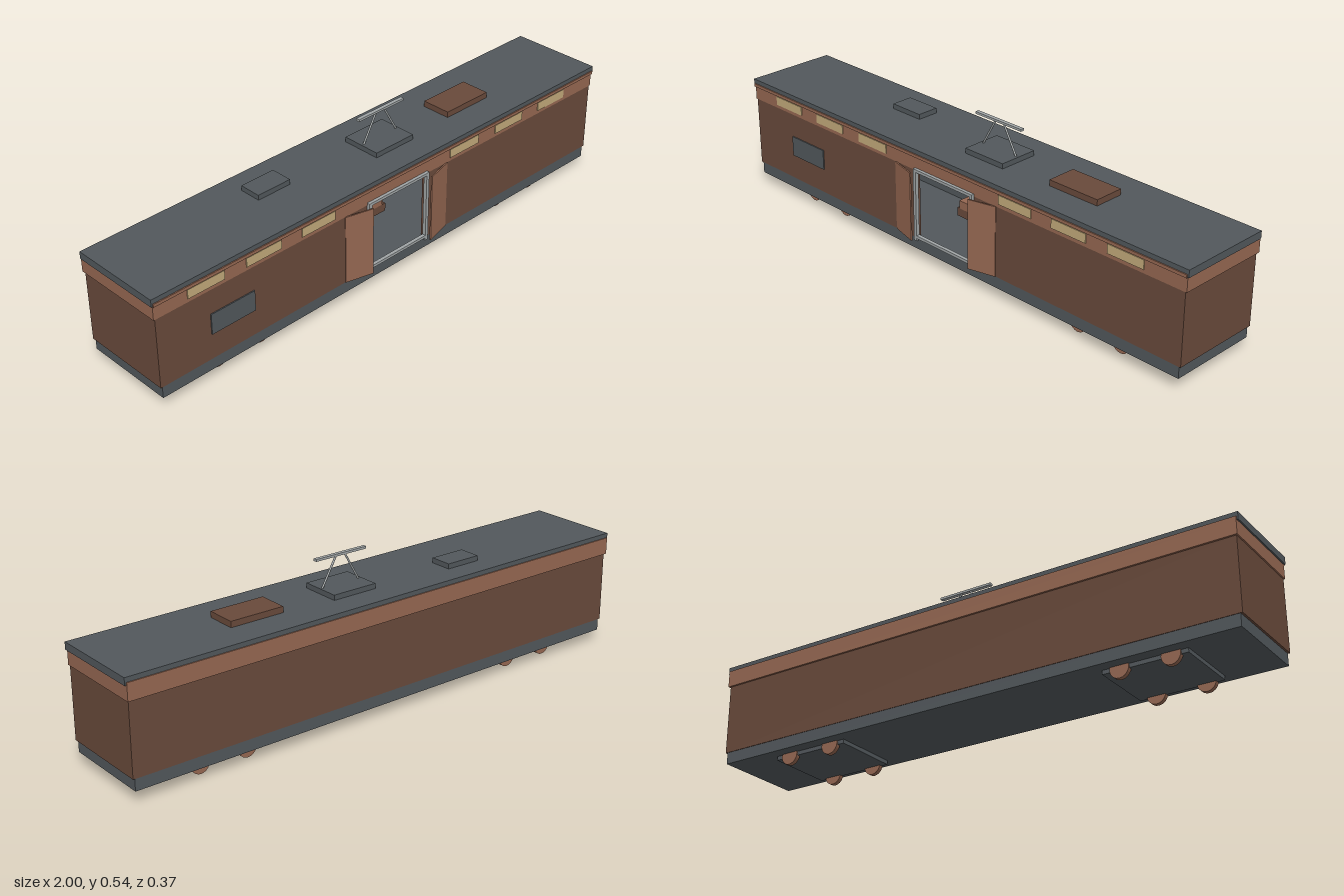
import * as THREE from 'three';

const mat = (name, color) => {
  const m = new THREE.MeshStandardMaterial({ color });
  m.name = name;
  return m;
};

export function createModel() {
  const brown = mat('dark brown', 0x694a3b);
  const tan = mat('light brown', 0x966852);
  const grey = mat('slate grey', 0x52585c);
  const metal = mat('light metal', 0xa0a5a6);
  const cream = mat('window cream', 0xc4ab7b);

  const model = new THREE.Group();
  model.name = 'tramCar';

  // Box given by its lower and upper bounds on each axis
  const box = (name, m, x0, x1, y0, y1, z0, z1, parent = model) => {
    const mesh = new THREE.Mesh(new THREE.BoxGeometry(x1 - x0, y1 - y0, z1 - z0), m);
    mesh.position.set((x0 + x1) / 2, (y0 + y1) / 2, (z0 + z1) / 2);
    mesh.name = name;
    parent.add(mesh);
    return mesh;
  };

  // Round bar between two points
  const bar = (name, m, a, b, r, parent = model) => {
    const from = new THREE.Vector3(...a), to = new THREE.Vector3(...b);
    const dir = to.clone().sub(from);
    const mesh = new THREE.Mesh(new THREE.CylinderGeometry(r, r, dir.length(), 8), m);
    mesh.position.copy(from).add(to).multiplyScalar(0.5);
    mesh.quaternion.setFromUnitVectors(new THREE.Vector3(0, 1, 0), dir.normalize());
    mesh.name = name;
    parent.add(mesh);
  };

  // Underframe and roof
  box('chassis', grey, -0.983, 0.983, 0.042, 0.084, -0.175, 0.154);
  box('roof', grey, -1, 1, 0.386, 0.412, -0.18, 0.159);

  // Hollow body walls, leaving the doorway open at the front
  const walls = new THREE.Group();
  walls.name = 'bodyWalls';
  model.add(walls);
  box('backWall', brown, -0.99, 0.99, 0.084, 0.336, -0.177, -0.16, walls);
  for (const s of [-1, 1]) {
    const end = [0.974 * s, 0.99 * s].sort((a, b) => a - b);
    const front = [0.132 * s, 0.99 * s].sort((a, b) => a - b);
    box('endWall', brown, ...end, 0.084, 0.336, -0.16, 0.142, walls);
    box('frontWall', brown, ...front, 0.084, 0.336, 0.142, 0.156, walls);
  }

  // Upper band around the body
  const band = new THREE.Group();
  band.name = 'upperBand';
  model.add(band);
  box('backBand', tan, -0.995, 0.995, 0.336, 0.386, -0.184, -0.16, band);
  box('backRail', tan, -0.995, 0.995, 0.386, 0.396, -0.184, -0.1802, band);
  box('frontBand', tan, -0.995, 0.995, 0.336, 0.386, 0.142, 0.157, band);
  box('frontRail', tan, -0.995, 0.995, 0.385, 0.396, 0.157, 0.163, band);
  for (const x of [-0.995, 0.975]) {
    box('endBand', tan, x, x + 0.02, 0.336, 0.386, -0.16, 0.142, band);
  }

  // Small upper windows
  for (const x of [-0.8, -0.575, -0.35, 0.318, 0.543, 0.768]) {
    box('window', cream, x - 0.07, x + 0.07, 0.349, 0.381, 0.157, 0.16);
  }
  box('sidePanel', grey, -0.79, -0.618, 0.176, 0.25, 0.156, 0.16);

  // Cabin lining and benches seen through the doorway
  box('innerBackWall', grey, -0.974, 0.974, 0.084, 0.386, -0.16, -0.155);
  box('benchBase', brown, -0.14, 0.14, 0.1, 0.13, -0.12, -0.035);
  box('benchLeft', tan, 0.02, 0.125, 0.13, 0.16, -0.12, -0.035);
  box('benchRight', tan, -0.13, -0.028, 0.13, 0.16, -0.12, -0.035);

  // Door frame
  const frame = new THREE.Group();
  frame.name = 'doorFrame';
  model.add(frame);
  for (const x of [-0.138, 0.126]) box('framePost', metal, x, x + 0.012, 0.08, 0.345, 0.155, 0.168, frame);
  box('frameTop', metal, -0.126, 0.126, 0.335, 0.345, 0.155, 0.168, frame);
  box('frameSill', metal, -0.126, 0.126, 0.09, 0.1, 0.155, 0.168, frame);

  // Two door leaves, hinged at their outer edges and swung slightly outward
  for (const s of [-1, 1]) {
    const door = box('door', tan, -0.0515, 0.0515, 0.084, 0.335, -0.0025, 0.0025);
    door.position.set(0.185 * s, 0.2095, 0.169);
    door.rotation.y = 0.25 * s;
  }

  // Bogies with wheels
  for (const [name, x0, x1, axles] of [
    ['rightBogie', -0.792, -0.5, [-0.735, -0.561]],
    ['leftBogie', 0.497, 0.789, [0.555, 0.73]],
  ]) {
    const bogie = new THREE.Group();
    bogie.name = name;
    model.add(bogie);
    box('bogiePlate', grey, x0, x1, 0.028, 0.042, -0.131, 0.111, bogie);
    for (const x of axles) {
      for (const z of [0.108, -0.128]) {
        const wheel = new THREE.Mesh(new THREE.CylinderGeometry(0.033, 0.033, 0.016, 20), tan);
        wheel.rotation.x = Math.PI / 2;
        wheel.position.set(x, 0.033, z);
        wheel.name = 'wheel';
        bogie.add(wheel);
      }
    }
  }

  // Roof boxes
  box('roofVent', grey, -0.44, -0.307, 0.412, 0.43, -0.098, -0.018);
  box('roofUnit', brown, 0.357, 0.555, 0.412, 0.433, -0.065, 0.044);

  // Current collector
  const collector = new THREE.Group();
  collector.name = 'currentCollector';
  model.add(collector);
  box('collectorBase', grey, 0, 0.17, 0.412, 0.43, -0.084, 0.061, collector);
  box('collectorBar', metal, -0.017, 0.188, 0.527, 0.535, -0.016, -0.002, collector);
  for (const s of [-1, 1]) {
    bar('collectorArm', metal, [0.086 + 0.075 * s, 0.428, -0.01], [0.086 + 0.017 * s, 0.53, -0.01], 0.0035, collector);
  }

  return model;
}
